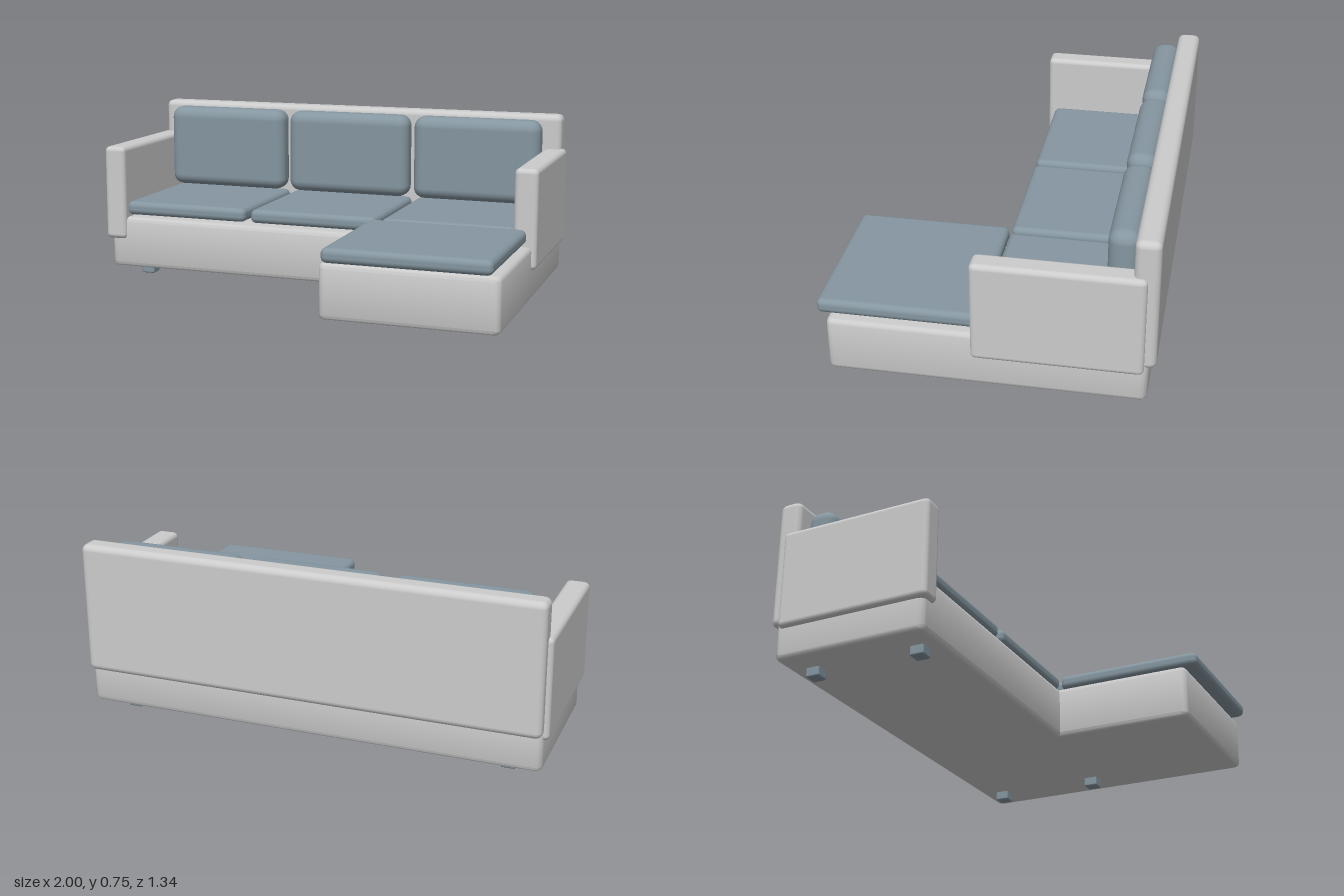
import * as THREE from 'three';
import { RoundedBoxGeometry } from 'three/addons/geometries/RoundedBoxGeometry.js';
import { toCreasedNormals } from 'three/addons/utils/BufferGeometryUtils.js';

const frameMaterial = new THREE.MeshStandardMaterial({ color: 0xcccccc });
const cushionMaterial = new THREE.MeshStandardMaterial({ color: 0x8596a0 });

// Rounded box given by its [min, max] extent on each axis
function softBox(name, [x0, x1], [y0, y1], [z0, z1], radius, material, segments = 3) {
  const geometry = new RoundedBoxGeometry(x1 - x0, y1 - y0, z1 - z0, segments, radius);
  const mesh = new THREE.Mesh(geometry, material);
  mesh.position.set((x0 + x1) / 2, (y0 + y1) / 2, (z0 + z1) / 2);
  mesh.name = name;
  return mesh;
}

// Closed outline whose corners are softened by distance r
function roundedOutline(points, r) {
  const shape = new THREE.Shape();
  const corners = points.map(([x, y]) => new THREE.Vector2(x, y));
  corners.forEach((corner, i) => {
    const previous = corners[(i + corners.length - 1) % corners.length];
    const next = corners[(i + 1) % corners.length];
    const start = previous.clone().sub(corner).setLength(r).add(corner);
    const end = next.clone().sub(corner).setLength(r).add(corner);
    if (i === 0) shape.moveTo(start.x, start.y);
    else shape.lineTo(start.x, start.y);
    shape.quadraticCurveTo(corner.x, corner.y, end.x, end.y);
  });
  shape.closePath();
  return shape;
}

// L-shaped plinth under the seats and the chaise
function createBase() {
  const bevel = 0.02, bottom = 0.04, top = 0.27;
  const left = -0.98 + bevel, right = 0.98 - bevel, chaise = 0.245 + bevel;
  const back = 0.64 - bevel, front = -0.03 + bevel, chaiseFront = -0.625 + bevel;
  const outline = roundedOutline([
    [left, front], [chaise, front], [chaise, chaiseFront],
    [right, chaiseFront], [right, back], [left, back],
  ], 0.01);
  const geometry = new THREE.ExtrudeGeometry(outline, {
    depth: top - bottom - 2 * bevel, bevelThickness: bevel, bevelSize: bevel,
    bevelSegments: 3, curveSegments: 3,
  });
  geometry.rotateX(-Math.PI / 2);
  geometry.translate(0, bottom + bevel, 0);
  const mesh = new THREE.Mesh(toCreasedNormals(geometry, 0.75), frameMaterial);
  mesh.name = 'base';
  return mesh;
}

export function createModel() {
  const sofa = new THREE.Group();
  sofa.name = 'cornerSofa';

  // Frame
  sofa.add(createBase());
  sofa.add(softBox('backrest', [-0.98, 0.98], [0.19, 0.75], [-0.67, -0.57], 0.028, frameMaterial));
  sofa.add(softBox('rightArm', [-1, -0.9], [0.17, 0.597], [-0.625, 0.047], 0.022, frameMaterial));
  sofa.add(softBox('leftArm', [0.9, 1], [0.17, 0.597], [-0.625, 0.047], 0.022, frameMaterial));

  // Three pairs of seat and back cushions
  for (let i = -1; i <= 1; i++) {
    const centre = i * 0.612 - 0.003;
    const span = [centre - 0.293, centre + 0.293];
    sofa.add(softBox('seatCushion', span, [0.28, 0.342], [-0.58, 0.015], 0.025, cushionMaterial));
    sofa.add(softBox('backCushion', span, [0.35, 0.73], [-0.585, -0.46], 0.05, cushionMaterial, 5));
  }

  // Chaise cushion
  sofa.add(softBox('chaiseCushion', [0.268, 0.957], [0.28, 0.342], [0.022, 0.668], 0.025, cushionMaterial));

  // Feet
  for (const x of [-0.83, 0.825]) {
    for (const z of [-0.065, -0.537]) {
      sofa.add(softBox('foot', [x - 0.031, x + 0.031], [0, 0.055], [z - 0.031, z + 0.031],
        0.008, cushionMaterial, 2));
    }
  }
  return sofa;
}
